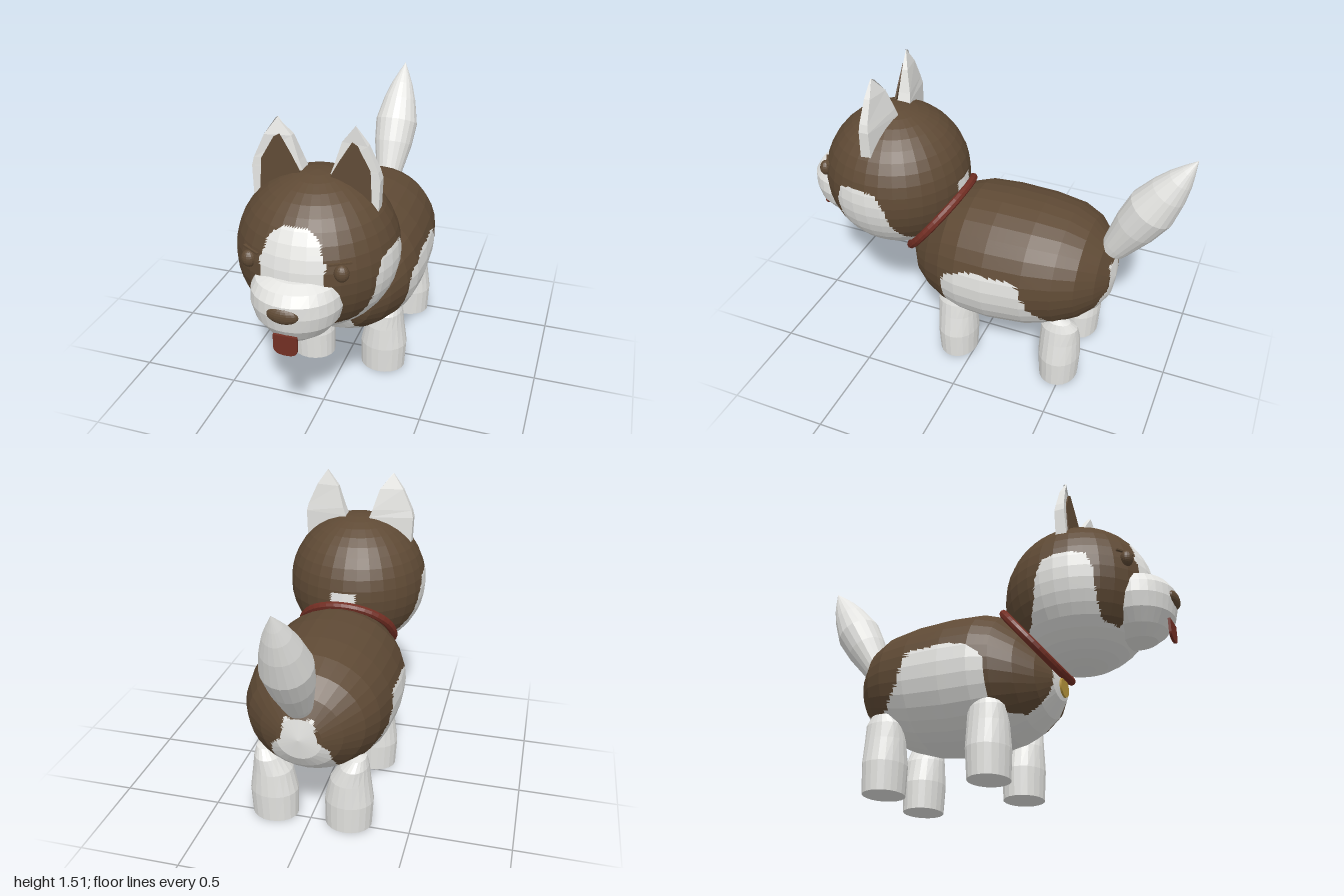
import * as THREE from 'three';

const mat = (name, color) => {
  const m = new THREE.MeshStandardMaterial({ color });
  m.name = name;
  return m;
};

// Elliptical rings, ordered so that rings stacked along +z / +y face outward
const ringZ = (z, cy, rx, ry, n = 32) => Array.from({ length: n }, (_, j) => {
  const a = (j / n) * Math.PI * 2;
  return [rx * Math.cos(a), cy + ry * Math.sin(a), z];
});
const ringY = (y, cx, cz, rx, rz, n = 32) => Array.from({ length: n }, (_, j) => {
  const a = (j / n) * Math.PI * 2;
  return [cx + rx * Math.sin(a), y, cz + rz * Math.cos(a)];
});

// Faceted skin over a stack of rings. Each facet is cut into sub x sub pieces,
// and isSecond(x, y, z) sends a piece to the second material.
function skin(rings, sub = 1, isSecond = () => false) {
  const lists = [[], []];
  const lerp = (p, q, t) => p.map((v, i) => v + (q[i] - v) * t);
  const tri = (...p) => {
    const c = [0, 1, 2].map((i) => (p[0][i] + p[1][i] + p[2][i]) / 3);
    lists[isSecond(...c) ? 1 : 0].push(...p.flat());
  };
  for (let i = 0; i < rings.length - 1; i++) {
    const lo = rings[i], hi = rings[i + 1], n = lo.length;
    for (let j = 0; j < n; j++) {
      const k = (j + 1) % n;
      const at = (u, v) => lerp(lerp(lo[j], lo[k], u / sub), lerp(hi[j], hi[k], u / sub), v / sub);
      for (let u = 0; u < sub; u++) for (let v = 0; v < sub; v++) {
        const a = at(u, v), b = at(u + 1, v), c = at(u + 1, v + 1), d = at(u, v + 1);
        tri(a, b, c);
        tri(a, c, d);
      }
    }
  }
  const g = new THREE.BufferGeometry();
  g.setAttribute('position', new THREE.Float32BufferAttribute(lists[0].concat(lists[1]), 3));
  g.addGroup(0, lists[0].length / 3, 0);
  g.addGroup(lists[0].length / 3, lists[1].length / 3, 1);
  g.computeVertexNormals();
  return g;
}

const flat = (g) => {
  const f = g.toNonIndexed();
  f.computeVertexNormals();
  return f;
};

// Point in polygon test for the coat markings
function inside(poly, x, y) {
  let hit = false;
  poly.forEach(([ax, ay], i) => {
    const [bx, by] = poly[(i + 1) % poly.length];
    if (ay > y !== by > y && x < ((bx - ax) * (y - ay)) / (by - ay) + ax) hit = !hit;
  });
  return hit;
}

// Coat markings: side outlines are (z, y), front outlines are (|x|, y)
const cheek = [[0.2, 0.5], [0.2, 0.66], [0.31, 0.68], [0.354, 0.71], [0.4, 0.815], [0.41, 0.895],
  [0.456, 0.99], [0.52, 1.0], [0.6, 1.0], [0.66, 0.985], [0.69, 0.9], [0.687, 0.68], [0.76, 0.66], [0.76, 0.5]];
const blaze = [[-0.1, 0.5], [-0.1, 1.155], [0.05, 1.155], [0.09, 1.13], [0.12, 1.1], [0.13, 1.05],
  [0.15, 1.01], [0.14, 0.93], [0.14, 0.7], [0.17, 0.5]];
const flank = [[0.13, 0.2], [0.13, 0.55], [0.1, 0.6], [0.02, 0.645], [-0.05, 0.66], [-0.27, 0.66],
  [-0.3, 0.6], [-0.34, 0.5], [-0.42, 0.42], [-0.52, 0.35], [-0.52, 0.2]];
const rump = [[-0.1, 0.3], [-0.1, 0.68], [0.07, 0.68], [0.09, 0.57], [0.14, 0.52], [0.16, 0.3]];

const headIsWhite = (x, y, z) => {
  const ax = Math.abs(x);
  if (y < 0.655) return true;
  if (z < 0.25) return ax < 0.065 && y < 0.97;
  return inside(cheek, z, y) || (z > 0.6 && inside(blaze, ax, y));
};
const bodyIsWhite = (x, y, z) => {
  const ax = Math.abs(x);
  if (y < (z < -0.45 ? 0.36 : 0.32) || inside(flank, z, y)) return y < 0.7;
  if (z > 0.1) return y < 0.6 && ax < 0.1 + Math.max(0, 0.42 - y) * 0.25;
  return z < -0.5 && inside(rump, ax, y);
};

export function createModel() {
  const brown = mat('brown fur', 0x5f4a35);
  const white = mat('white fur', 0xe4e4e1);
  const red = mat('red', 0x732f24);
  const gold = mat('gold', 0xb8963c);
  const model = new THREE.Group();
  model.name = 'dog';
  const add = (name, geo, material, x = 0, y = 0, z = 0) => {
    const m = new THREE.Mesh(geo, material);
    m.name = name;
    m.position.set(x, y, z);
    model.add(m);
    return m;
  };

  // Body: z, top, bottom, half width
  const body = [[-0.69, 0.575, 0.575, 0], [-0.675, 0.68, 0.47, 0.11], [-0.63, 0.775, 0.405, 0.2],
    [-0.55, 0.855, 0.34, 0.285], [-0.45, 0.9, 0.285, 0.335], [-0.3, 0.92, 0.235, 0.365],
    [-0.1, 0.925, 0.21, 0.375], [0.05, 0.915, 0.215, 0.365], [0.15, 0.88, 0.24, 0.335],
    [0.25, 0.78, 0.285, 0.275], [0.33, 0.68, 0.34, 0.2], [0.385, 0.6, 0.42, 0.11], [0.4, 0.51, 0.51, 0]];
  add('body', skin(body.map(([z, t, b, w]) => ringZ(z, (t + b) / 2, w, (t - b) / 2)), 5, bodyIsWhite), [brown, white]);

  // Head
  const headRings = [];
  for (let i = 0; i <= 20; i++) {
    const a = (i / 20) * Math.PI, r = 0.375 * Math.sin(a);
    headRings.push(ringY(0.92 - 0.375 * Math.cos(a), 0, 0.51, r, r));
  }
  add('head', skin(headRings, 5, headIsWhite), [brown, white]);

  // Muzzle: y, half width, half depth
  const muzzle = [[0.615, 0, 0], [0.635, 0.08, 0.09], [0.68, 0.145, 0.14], [0.74, 0.19, 0.18], [0.81, 0.21, 0.195],
    [0.87, 0.205, 0.195], [0.915, 0.185, 0.165], [0.938, 0.13, 0.11], [0.945, 0, 0]];
  add('muzzle', skin(muzzle.map(([y, w, d]) => ringY(y, 0, 0.79, w, d))), white);
  const ball = flat(new THREE.SphereGeometry(1, 16, 12));
  add('nose', ball, brown, 0, 0.825, 0.972).scale.set(0.072, 0.04, 0.028);

  // Tongue
  const t = new THREE.Shape();
  t.moveTo(-0.055, 0.71);
  t.lineTo(-0.055, 0.64);
  t.quadraticCurveTo(-0.05, 0.61, 0, 0.61);
  t.quadraticCurveTo(0.05, 0.61, 0.055, 0.64);
  t.lineTo(0.055, 0.71);
  add('tongue', new THREE.ExtrudeGeometry(t, { depth: 0.012, bevelEnabled: false }), red, 0, 0, 0.948);

  // Collar and tag
  const collar = add('collar', flat(new THREE.TorusGeometry(0.235, 0.022, 8, 40)), red, 0, 0.72, 0.27);
  collar.rotation.x = -0.668;
  collar.scale.x = 1.06;
  const tag = add('collarTag', new THREE.CylinderGeometry(0.05, 0.05, 0.01, 24), gold, 0, 0.48, 0.404);
  tag.rotation.x = Math.PI / 2;

  // Tail: radius, distance along the tail
  const tail = [[0, 0], [0.065, 0], [0.075, 0.04], [0.108, 0.2], [0.12, 0.33], [0.092, 0.46], [0.062, 0.55],
    [0.035, 0.61], [0, 0.68]].map(([r, d]) => new THREE.Vector2(r, d));
  add('tail', flat(new THREE.LatheGeometry(tail, 20)), white, 0, 0.74, -0.66).rotation.x = -0.523;

  // Legs: y, outward shift, half width, half depth
  const leg = [[0.005, 0, 0, 0], [0.005, 0, 0.117, 0.1], [0.15, 0.003, 0.122, 0.108], [0.27, 0.008, 0.1, 0.103],
    [0.35, 0.028, 0.07, 0.095], [0.395, 0.045, 0.04, 0.06], [0.41, 0.05, 0, 0]];
  // Ear: y, inner x, outer x, front z, inner back z, outer back z
  const ear = [[1.15, 0.06, 0.29, 0.555, 0.46, 0.5], [1.29, 0.065, 0.295, 0.55, 0.46, 0.5],
    [1.33, 0.08, 0.285, 0.548, 0.465, 0.505], [1.44, 0.115, 0.235, 0.54, 0.49, 0.51], [1.52, 0.177, 0.18, 0.53, 0.525, 0.525]];
  // Inner ear plate outline
  const plate = [[0.07, 1.15], [0.072, 1.29], [0.11, 1.36], [0.165, 1.45], [0.19, 1.435], [0.25, 1.33], [0.26, 1.15]];

  for (const s of [1, -1]) {
    const side = s > 0 ? 'left' : 'right';
    for (const [part, x, z] of [['FrontLeg', 0.198, 0.095], ['BackLeg', 0.19, -0.475]]) {
      add(side + part, skin(leg.map(([y, out, w, d]) => ringY(y, s * (x + out), z, w, d, 20))), white);
    }
    add(side + 'Ear', skin(ear.map(([y, xi, xo, f, bi, bo]) => {
      const ring = [[s * xi, y, f - 0.02], [s * xo, y, f], [s * xo, y, bo], [s * xi, y, bi]];
      return s > 0 ? ring : ring.reverse();
    })), white);
    const shape = new THREE.Shape(plate.map(([x, y]) => new THREE.Vector2(s * x, y - 1.15)));
    const inner = add(side + 'InnerEar', new THREE.ExtrudeGeometry(shape, { depth: 0.008, bevelEnabled: false }), brown, 0, 1.15, 0.551);
    inner.rotation.x = -0.06;
    add(side + 'Eye', ball, brown, s * 0.21, 0.98, 0.82).scale.set(0.034, 0.04, 0.03);
    add(side + 'Brow', new THREE.BoxGeometry(0.1, 0.008, 0.02), brown, s * 0.2, 1.02, 0.808).rotation.y = s * 0.55;
  }
  return model;
}
